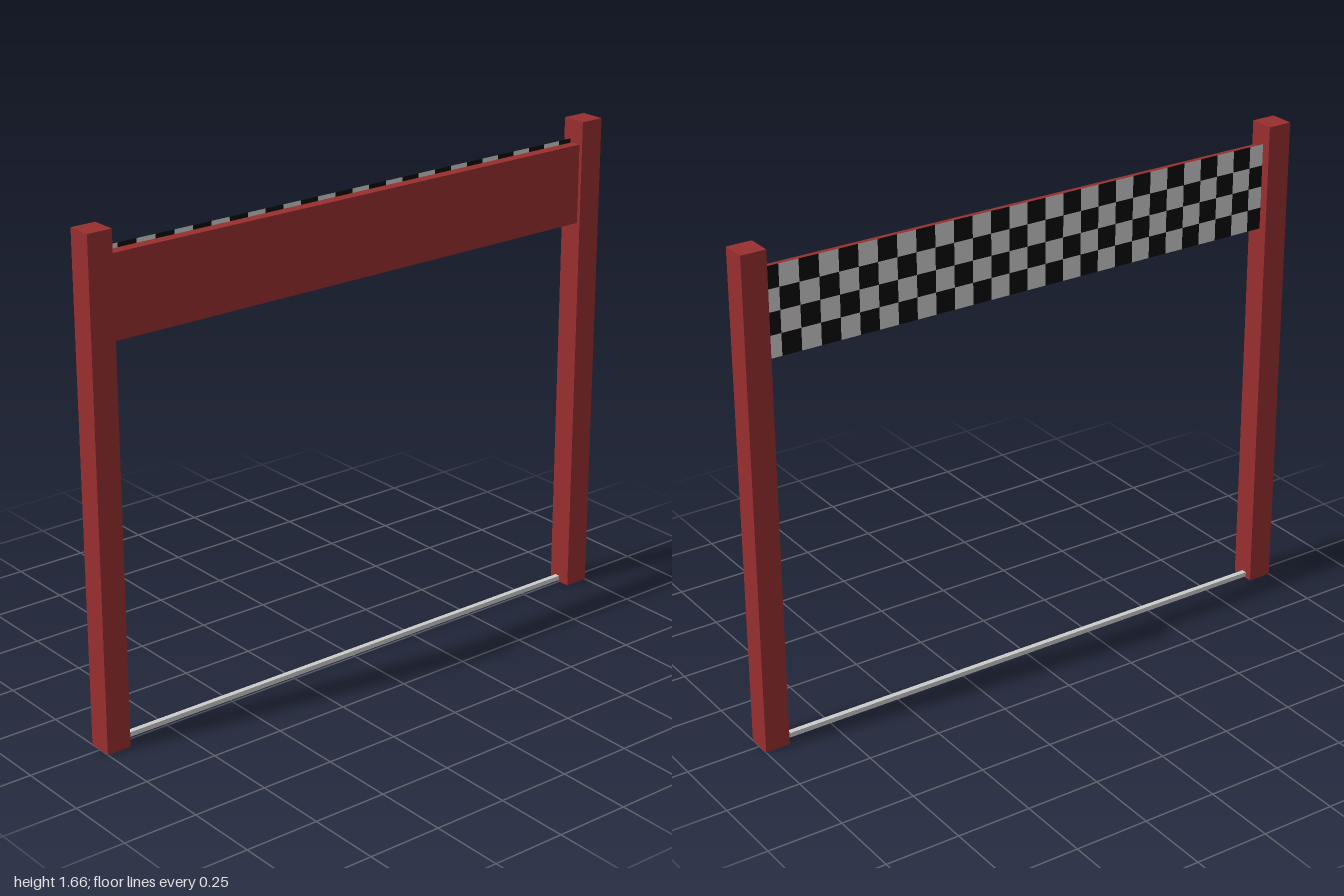
import * as THREE from 'three';
import { mergeGeometries } from 'three/addons/utils/BufferGeometryUtils.js';

const RED = 0x982e2e;

function box(name, color, [w, h, d], [x, y, z]) {
  const mesh = new THREE.Mesh(
    new THREE.BoxGeometry(w, h, d),
    new THREE.MeshStandardMaterial({ color })
  );
  mesh.name = name;
  mesh.position.set(x, y, z);
  return mesh;
}

// Thin chequered sheet: squares gathered into one light and one dark mesh
function chequeredSheet(columns, rows, width, height) {
  const sheet = new THREE.Group();
  sheet.name = 'chequeredSheet';
  const w = width / columns, h = height / rows;
  const squares = [[], []];
  for (let i = 0; i < columns; i++) {
    for (let j = 0; j < rows; j++) {
      const square = new THREE.PlaneGeometry(w, h);
      square.translate((i + 0.5) * w - width / 2, (j + 0.5) * h - height / 2, 0);
      squares[(i + j) % 2].push(square);
    }
  }
  [['darkSquares', 0x0a0a0a], ['lightSquares', 0xcccccc]].forEach(([name, color], k) => {
    const mesh = new THREE.Mesh(
      mergeGeometries(squares[k]),
      new THREE.MeshStandardMaterial({ color, side: THREE.DoubleSide })
    );
    mesh.name = name;
    sheet.add(mesh);
  });
  return sheet;
}

export function createModel() {
  const gate = new THREE.Group();
  gate.name = 'finishGate';

  // Square posts
  for (const side of [-1, 1]) {
    const name = side > 0 ? 'leftPost' : 'rightPost';
    gate.add(box(name, RED, [0.084, 1.656, 0.084], [side * 0.958, 0.828, 0]));
  }

  // Solid banner board facing forward
  gate.add(box('bannerBoard', RED, [1.84, 0.266, 0.036], [0, 1.446, 0.012]));

  // Chequered sheet on the back, slightly taller than the board
  const sheet = chequeredSheet(28, 4, 1.86, 0.29);
  sheet.position.set(0, 1.446, -0.012);
  gate.add(sheet);

  // Slim bar across the ground
  gate.add(box('groundBar', 0xcccccc, [1.84, 0.016, 0.018], [0, 0.014, -0.009]));

  return gate;
}
